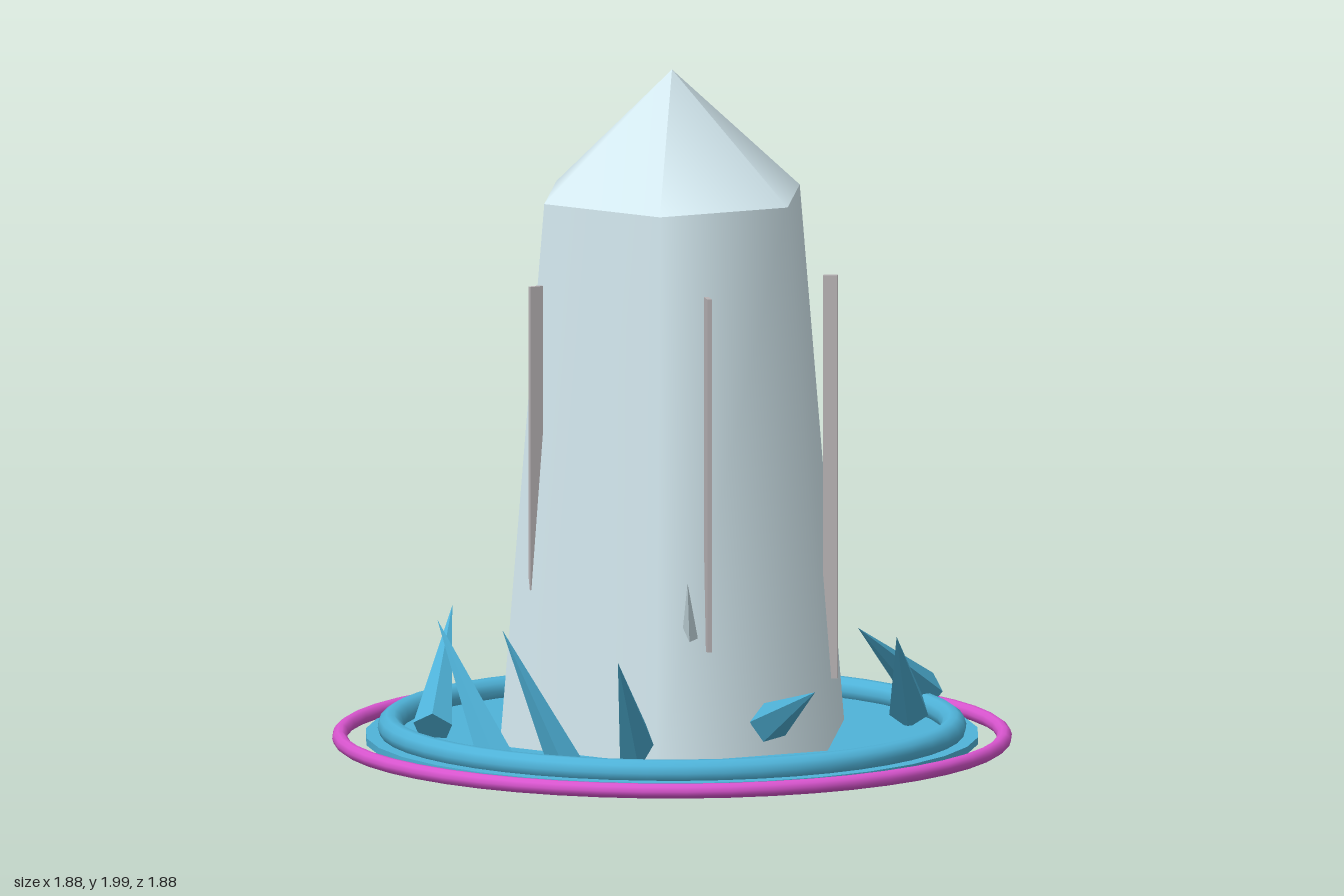
import * as THREE from 'three';

const mat = (color, flatShading = false) => new THREE.MeshStandardMaterial({ color, flatShading });

export function createModel() {
  const group = new THREE.Group();
  const ice = mat(0xd6ebf2), iceFlat = mat(0xd6ebf2, true);
  const blue = mat(0x4fb3d9), blueFlat = mat(0x4fb3d9, true);
  const pink = mat(0xd955cf), grey = mat(0xb8b3b5);

  const add = (name, geometry, material, x = 0, y = 0, z = 0) => {
    const mesh = new THREE.Mesh(geometry, material);
    mesh.name = name;
    mesh.position.set(x, y, z);
    group.add(mesh);
    return mesh;
  };

  // Tapered hexagonal tower with a pointed cap
  add('towerBody', new THREE.CylinderGeometry(0.39, 0.53, 1.56, 6), ice, 0, 0.87, 0);
  add('towerCap', new THREE.ConeGeometry(0.39, 0.35, 6), ice, 0, 1.825, 0);

  // Round base plate and its two rings
  add('basePlate', new THREE.CylinderGeometry(0.85, 0.85, 0.02, 32), blue, 0, 0.13, 0);
  add('innerRing', new THREE.TorusGeometry(0.78, 0.035, 10, 48), blue, 0, 0.16, 0).rotation.x = Math.PI / 2;
  add('outerRing', new THREE.TorusGeometry(0.92, 0.021, 10, 48), pink, 0, 0.13, 0).rotation.x = Math.PI / 2;

  // Five upright strips, level at the top and each shorter than the last
  for (let i = 0; i < 5; i++) {
    const angle = (i * Math.PI * 2) / 5;
    const height = 1.13 - 0.14 * i;
    const strip = add('strip', new THREE.BoxGeometry(0.04, height, 0.013), grey,
      0.44 * Math.cos(angle), 1.43 - height / 2, 0.44 * Math.sin(angle));
    strip.rotation.y = -angle;
  }

  // A five-sided spike from the centre of its base to its tip
  const up = new THREE.Vector3(0, 1, 0);
  const spike = (name, radius, material, base, tip) => {
    const a = new THREE.Vector3(...base);
    const axis = new THREE.Vector3(...tip).sub(a);
    const length = axis.length();
    const geometry = new THREE.ConeGeometry(radius, length, 5).translate(0, length / 2, 0);
    add(name, geometry, material, ...base).quaternion.setFromUnitVectors(up, axis.normalize());
  };

  // Blue shards scattered over the plate
  [
    [[0.32, 0.19, -0.81], [0.19, 0.39, -0.40]],
    [[0.66, 0.19, -0.46], [0.51, 0.43, -0.07]],
    [[0.64, 0.18, -0.21], [0.64, 0.45, 0.19]],
    [[0.30, 0.23, 0.35], [0.46, 0.38, 0.72]],
    [[-0.05, 0.16, 0.46], [-0.08, 0.47, 0.81]],
    [[-0.23, 0.09, 0.50], [-0.42, 0.52, 0.59]],
    [[-0.43, 0.09, 0.45], [-0.63, 0.49, 0.25]],
    [[-0.65, 0.17, 0.16], [-0.63, 0.45, -0.23]],
    [[-0.44, 0.08, -0.57], [-0.26, 0.51, -0.50]],
  ].forEach(([base, tip]) => spike('shard', 0.057, blueFlat, base, tip));

  // Pale crystals rooted under the tower
  [
    [[0.08, 0.08, -0.53], [0.04, 0.68, -0.22]],
    [[0.36, 0.06, -0.18], [0.26, 0.70, -0.05]],
    [[0.08, 0.06, 0.14], [0.09, 0.65, 0.54]],
    [[-0.19, 0.05, 0.28], [0.05, 0.68, 0.20]],
    [[-0.34, 0.05, 0.13], [-0.10, 0.68, 0.22]],
    [[-0.33, 0.06, -0.19], [-0.20, 0.70, -0.10]],
  ].forEach(([base, tip]) => spike('rootCrystal', 0.082, iceFlat, base, tip));

  return group;
}
